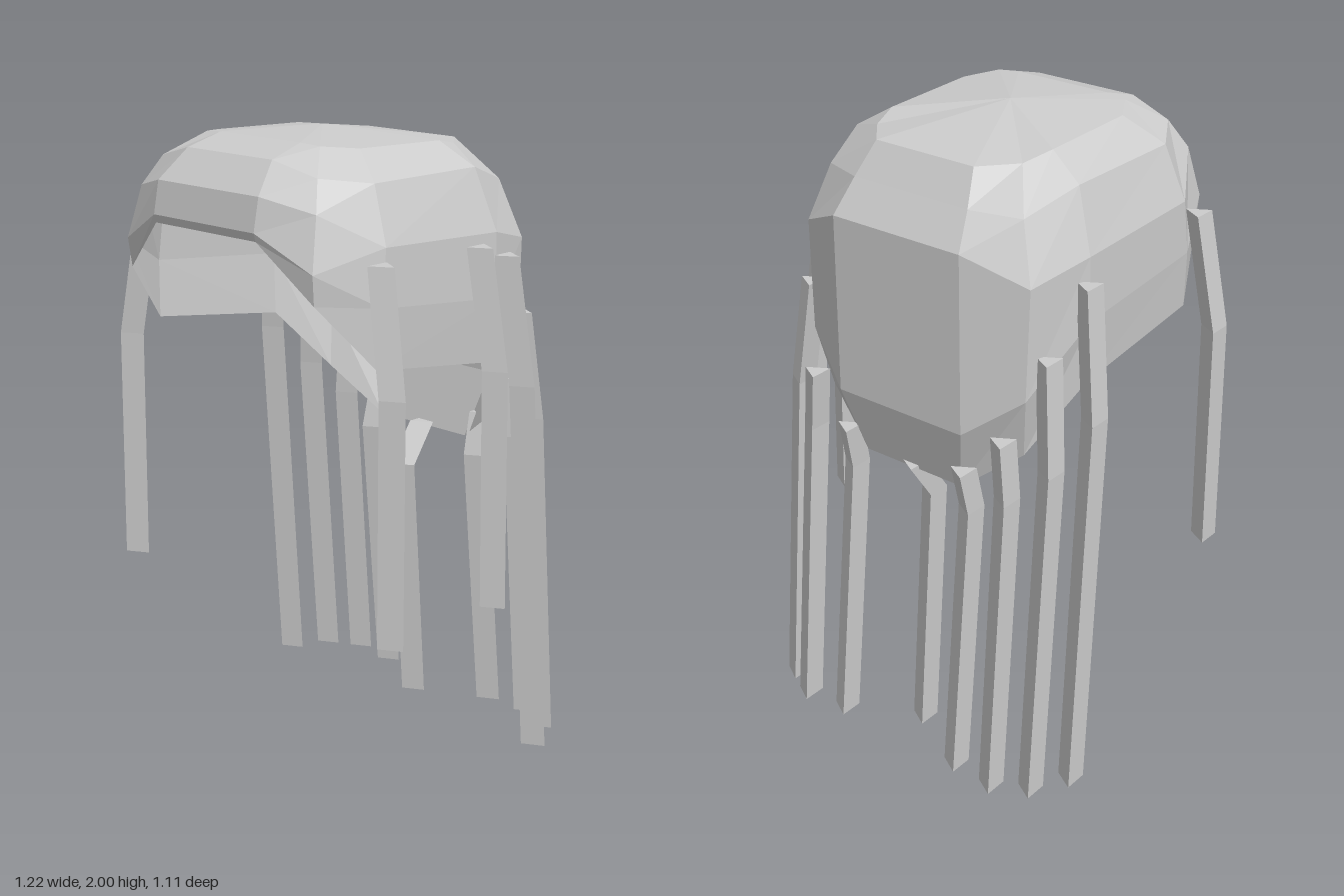
import * as THREE from 'three';

const material = new THREE.MeshStandardMaterial({ color: 0xcccccc, flatShading: true, side: THREE.DoubleSide });
const CENTRE = -0.015;

// Half rings of the cap, rim to crown; each point [half width, y, z] runs front to back
const RINGS = [
  [[0.215, 1.735, 0.55], [0.395, 1.57, 0.5], [0.475, 1.37, 0.33], [0.47, 1.3, -0.17], [0.375, 1.1, -0.34], [0.185, 0.955, -0.4]],
  [[0.215, 1.76, 0.557], [0.4, 1.66, 0.51], [0.485, 1.55, 0.32], [0.485, 1.5, -0.18], [0.41, 1.3, -0.38], [0.235, 1.17, -0.46]],
  [[0.215, 1.86, 0.537], [0.375, 1.82, 0.47], [0.48, 1.72, 0.3], [0.48, 1.7, -0.18], [0.42, 1.65, -0.375], [0.235, 1.735, -0.46]],
  [[0.18, 1.95, 0.45], [0.33, 1.91, 0.42], [0.415, 1.89, 0.28], [0.415, 1.89, -0.15], [0.36, 1.83, -0.33], [0.21, 1.84, -0.39]],
  [[0.17, 1.985, 0.33], [0.24, 1.98, 0.32], [0.3, 1.97, 0.22], [0.3, 1.96, -0.12], [0.27, 1.94, -0.22], [0.18, 1.94, -0.325]],
];

// Faceted shell, open along the rim below and in front
function createCap() {
  const positions = [];
  const index = [];
  const count = RINGS[0].length * 2;
  for (const half of RINGS) {
    const mirrored = half.map(([x, y, z]) => [-x, y, z]).reverse();
    for (const [x, y, z] of [...half, ...mirrored]) positions.push(x + CENTRE, y, z);
  }
  const apex = positions.length / 3;
  positions.push(CENTRE, 2, 0.07);
  for (let r = 0; r < RINGS.length; r++) {
    for (let i = 0; i < count; i++) {
      const a = r * count + i;
      const b = r * count + (i + 1) % count;
      if (r === RINGS.length - 1) index.push(a, b, apex);
      else index.push(a, b, b + count, a, b + count, a + count);
    }
  }
  const geometry = new THREE.BufferGeometry();
  geometry.setAttribute('position', new THREE.Float32BufferAttribute(positions, 3));
  geometry.setIndex(index);
  geometry.computeVertexNormals();
  const cap = new THREE.Mesh(geometry, material);
  cap.name = 'cap';
  return cap;
}

// Three-sided strand with one bend, through top, bend and tip
function createStrand(name, path) {
  const geometry = new THREE.CylinderGeometry(0.045, 0.045, 2, 3, 2, false, Math.PI / 2);
  const p = geometry.attributes.position;
  for (let i = 0; i < p.count; i++) {
    const [x, y, z] = path[Math.round(1 - p.getY(i))];
    p.setXYZ(i, p.getX(i) + x, y, p.getZ(i) + z);
  }
  geometry.computeVertexNormals();
  const strand = new THREE.Mesh(geometry, material);
  strand.name = name;
  return strand;
}

// Strands that hang on both sides: half widths, heights and depths of top, bend, tip
const PAIRS = {
  FrontStrand: [[0.505, 1.68, 0.34], [0.57, 1.31, 0.36], [0.575, 0.56, 0.365]],
  SideStrand: [[0.5, 1.63, -0.21], [0.55, 1.23, -0.24], [0.565, 0, -0.335]],
  BackSideStrand: [[0.455, 1.43, -0.335], [0.49, 1.09, -0.365], [0.498, 0, -0.455]],
  BackCornerStrand: [[0.365, 1.18, -0.43], [0.38, 0.99, -0.43], [0.388, 0, -0.515]],
  BackStrand: [[0.225, 1.04, -0.44], [0.23, 0.9, -0.41], [0.235, 0, -0.5]],
};

export function createModel() {
  const model = new THREE.Group();
  model.name = 'strandedHeadCap';
  model.add(createCap());

  const strands = new THREE.Group();
  strands.name = 'strands';
  for (const [name, path] of Object.entries(PAIRS)) {
    for (const side of [1, -1]) {
      const placed = path.map(([x, y, z]) => [side * x + CENTRE, y, z]);
      strands.add(createStrand((side > 0 ? 'left' : 'right') + name, placed));
    }
  }
  // Single strands: a short one on the left, a long one behind
  strands.add(createStrand('leftShortStrand', [[0.495, 1.675, -0.075], [0.555, 1.31, -0.085], [0.565, 0.56, -0.09]]));
  strands.add(createStrand('centreBackStrand', [[-0.015, 0.97, -0.4], [-0.015, 0.84, -0.31], [-0.015, 0, -0.375]]));
  model.add(strands);
  return model;
}
